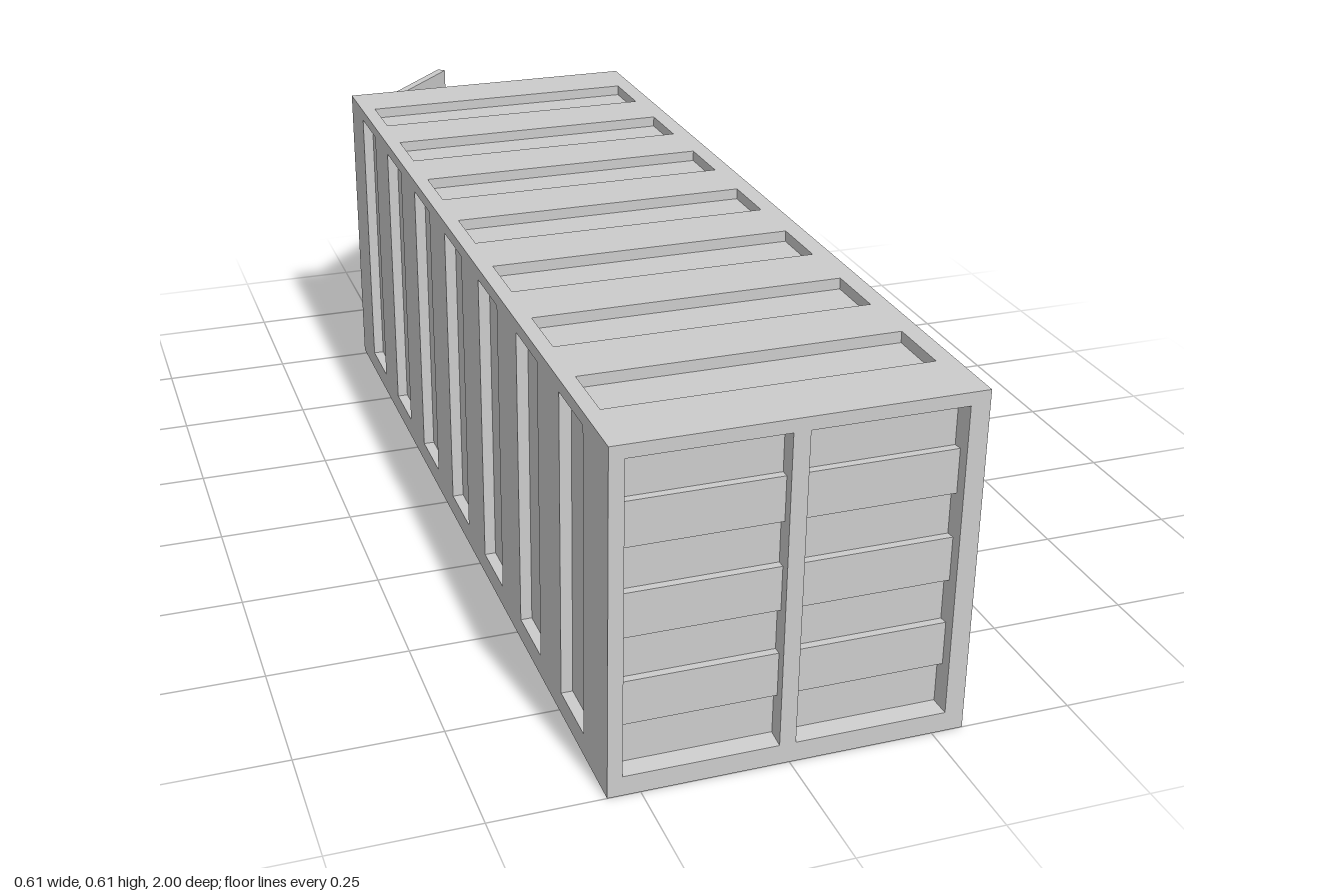
import * as THREE from 'three';

const W = 0.305, H = 0.61, FRONT = 1, BACK = -0.77;
const FRAME = 0.05, SKIN = 0.02;
const Y0 = 0.035, Y1 = 0.587;
const RIBS = 7, RIB_W = 0.12;
const ribZ = (i) => 0.821 - i * 0.2365;

const material = new THREE.MeshStandardMaterial({ color: 0xcccccc, flatShading: true });

function add(parent, name, geometry, x = 0, y = 0, z = 0) {
  const mesh = new THREE.Mesh(geometry, material);
  mesh.name = name;
  mesh.position.set(x, y, z);
  parent.add(mesh);
  return mesh;
}

function rect(path, x0, y0, x1, y1) {
  path.moveTo(x0, y0).lineTo(x1, y0).lineTo(x1, y1).lineTo(x0, y1).closePath();
  return path;
}

// Flat sheet with rectangular holes, extruded along +z
function sheet(outer, holes, depth) {
  const shape = rect(new THREE.Shape(), ...outer);
  holes.forEach((h) => shape.holes.push(rect(new THREE.Path(), ...h)));
  return new THREE.ExtrudeGeometry(shape, { depth, bevelEnabled: false });
}

// Door leaf: stepped horizontal strips, outer face towards +z
function leafGeometry(width) {
  const n = 7, step = 0.014, thick = 0.018;
  const outer = [], inner = [];
  for (let i = 0; i < n; i++) {
    const d = i % 2 ? 0 : step;
    for (const k of [i, i + 1]) {
      const y = 0.04 + (k * 0.545) / n;
      outer.push(new THREE.Vector2(d, y));
      inner.unshift(new THREE.Vector2(d + thick, y));
    }
  }
  const shape = new THREE.Shape([...outer, ...inner]);
  return new THREE.ExtrudeGeometry(shape, { depth: width, bevelEnabled: false }).rotateY(Math.PI / 2);
}

// End frame with two door openings whose outer jambs narrow inwards
function frameGeometry() {
  const g = sheet([-W, 0, W, H], [[-0.28, Y0, -0.018, Y1], [0.01, Y0, 0.272, Y1]], FRAME);
  const p = g.attributes.position;
  const near = (a, b) => Math.abs(a - b) < 1e-4;
  for (let i = 0; i < p.count; i++) {
    if (p.getZ(i) > FRAME / 2) continue;
    const x = p.getX(i), y = p.getY(i);
    if (near(x, -0.28)) p.setX(i, -0.273);
    if (near(x, 0.272)) p.setX(i, 0.266);
    if (near(y, Y0)) p.setY(i, 0.041);
    if (near(y, Y1)) p.setY(i, 0.58);
  }
  g.computeVertexNormals();
  return g.translate(0, 0, -FRAME);
}

export function createModel() {
  const model = new THREE.Group();
  model.name = 'shippingContainer';
  const z0 = BACK + FRAME, z1 = FRONT - FRAME;
  const length = z1 - z0, midZ = (z0 + z1) / 2;
  const inX = W - SKIN;

  // Side walls with recessed upright panels
  for (const side of [-1, 1]) {
    const wall = new THREE.Group();
    wall.name = side > 0 ? 'leftWall' : 'rightWall';
    const holes = [];
    for (let i = 0; i < RIBS; i++) {
      const z = ribZ(i);
      holes.push([-z - RIB_W / 2, 0.04, -z + RIB_W / 2, 0.588]);
      add(wall, 'wallPanel', new THREE.BoxGeometry(0.008, 0.556, RIB_W + 0.008),
        side * (inX - 0.004), 0.314, z);
    }
    const skin = sheet([-z1, 0, -z0, H], holes, SKIN).rotateY(Math.PI / 2);
    add(wall, 'wallSkin', skin, side > 0 ? inX : -W);
    model.add(wall);
  }

  // Roof with recessed cross panels
  const roof = new THREE.Group();
  roof.name = 'roof';
  const roofHoles = [];
  for (let i = 0; i < RIBS; i++) {
    const z = ribZ(i);
    roofHoles.push([-0.278, -z - RIB_W / 2, 0.272, -z + RIB_W / 2]);
    add(roof, 'roofPanel', new THREE.BoxGeometry(0.558, 0.008, RIB_W + 0.008), -0.003, H - SKIN - 0.004, z);
  }
  add(roof, 'roofSkin', sheet([-inX, -z1, inX, -z0], roofHoles, SKIN).rotateX(-Math.PI / 2), 0, H - SKIN);
  model.add(roof);

  // Floor
  add(model, 'floor', new THREE.BoxGeometry(2 * inX, Y0, length), 0, Y0 / 2, midZ);

  // Front end with both doors shut
  const front = new THREE.Group();
  front.name = 'frontEnd';
  front.position.z = FRONT;
  add(front, 'frontFrame', frameGeometry());
  for (const x of [-0.28, 0.006]) add(front, 'frontDoor', leafGeometry(0.27), x, 0, -0.018);
  model.add(front);

  // Back end with one door shut
  const back = new THREE.Group();
  back.name = 'backEnd';
  back.position.z = BACK;
  back.rotation.y = Math.PI;
  add(back, 'backFrame', frameGeometry());
  add(back, 'closedBackDoor', leafGeometry(0.27), -0.28, 0, -0.018);
  model.add(back);

  // Back door swung open
  const open = add(model, 'openBackDoor', leafGeometry(0.315), -0.067, 0, -1);
  open.rotation.y = Math.atan2(-0.73, -0.68);

  return model;
}
